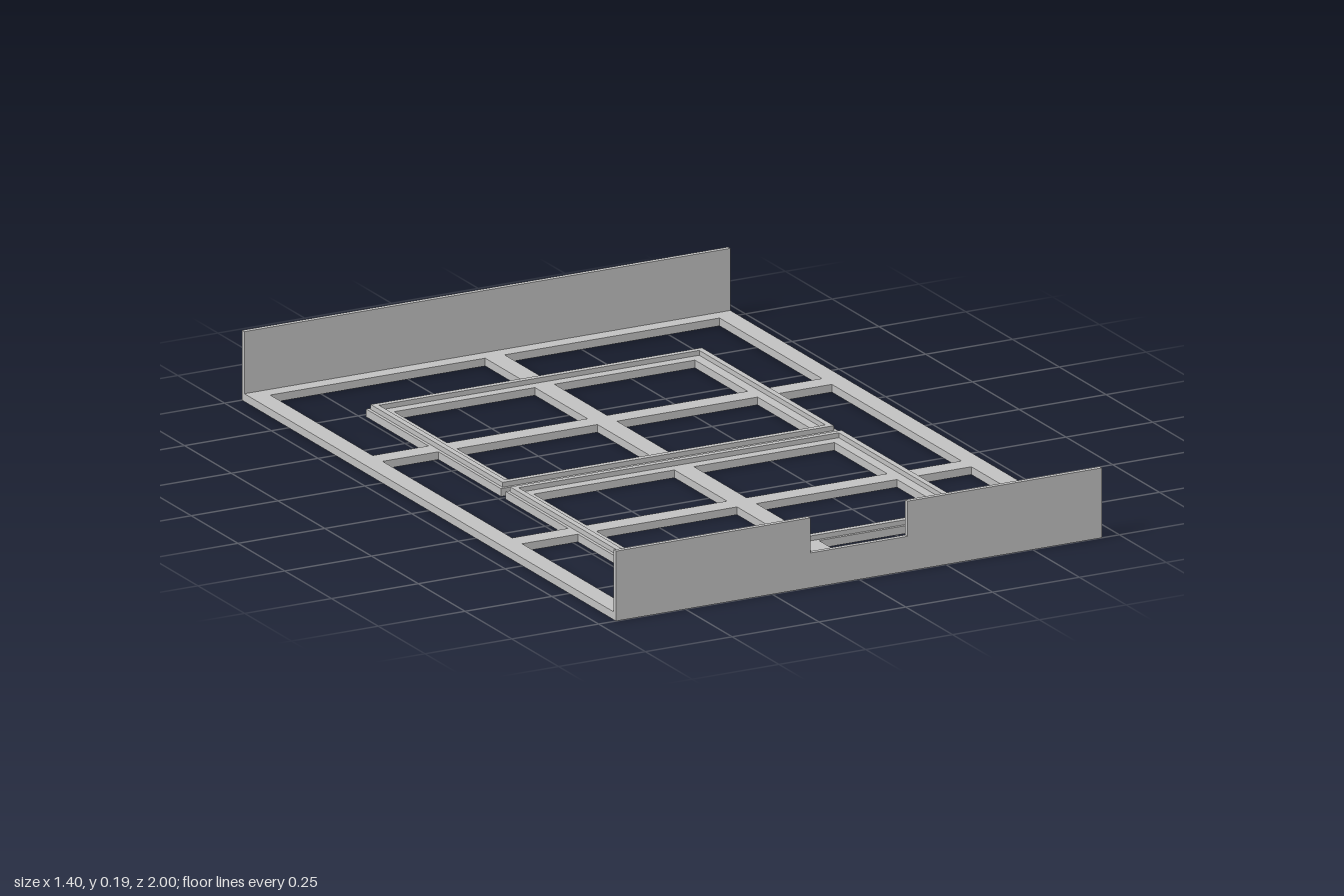
import * as THREE from 'three';

const W = 0.7, L = 1, BASE = 0.021, BAR = 0.053, WALL = 0.013, HEIGHT = 0.187;

export function createModel() {
  const model = new THREE.Group();
  model.name = 'slottedTray';
  const grey = new THREE.MeshStandardMaterial({ color: 0xc0c0c0 });
  grey.name = 'lightGrey';

  const add = (name, geometry, x, y, z) => {
    const mesh = new THREE.Mesh(geometry, grey);
    mesh.name = name;
    mesh.position.set(x, y, z);
    model.add(mesh);
  };
  const box = (name, w, h, d, x, y, z) =>
    add(name, new THREE.BoxGeometry(w, h, d), x, y + h / 2, z);

  // Flat rectangular ring lying on the ground plane, given half sizes
  const ring = (name, hx, hz, t, height, y, z) => {
    const rect = (P, a, b) => new P([[-a, -b], [a, -b], [a, b], [-a, b]].map(p => new THREE.Vector2(...p)));
    const shape = rect(THREE.Shape, hx, hz);
    shape.holes.push(rect(THREE.Path, hx - t, hz - t));
    const geometry = new THREE.ExtrudeGeometry(shape, { depth: height, bevelEnabled: false });
    geometry.rotateX(-Math.PI / 2);
    add(name, geometry, 0, y, z);
  };

  // Base frame with one long bar and two cross bars
  ring('baseFrame', W, L, BAR, BASE, 0, 0);
  box('centreBar', 0.056, BASE, 2 * (L - BAR), 0, 0, 0);
  const crossLength = W - BAR - 0.028;
  for (const z of [-0.373, 0.373])
    for (const side of [-1, 1])
      box('crossBar', crossLength, BASE, BAR, side * (0.028 + crossLength / 2), 0, z);

  // Two inner rings, each with a narrow raised ridge
  for (const z of [-0.373, 0.373]) {
    ring('innerRing', 0.486, 0.361, BAR, BASE, 0, z);
    ring('innerRidge', 0.477, 0.353, 0.016, 0.013, BASE, z);
  }

  // Plain back wall
  box('backWall', 2 * W, HEIGHT - BASE, WALL, 0, BASE, -L + WALL / 2);

  // Front wall with a central notch in its top edge
  const front = new THREE.Shape([
    [-W, BASE], [W, BASE], [W, HEIGHT], [0.14, HEIGHT],
    [0.14, 0.093], [-0.14, 0.093], [-0.14, HEIGHT], [-W, HEIGHT],
  ].map(p => new THREE.Vector2(...p)));
  add('frontWall', new THREE.ExtrudeGeometry(front, { depth: WALL, bevelEnabled: false }), 0, 0, L - WALL);

  return model;
}
